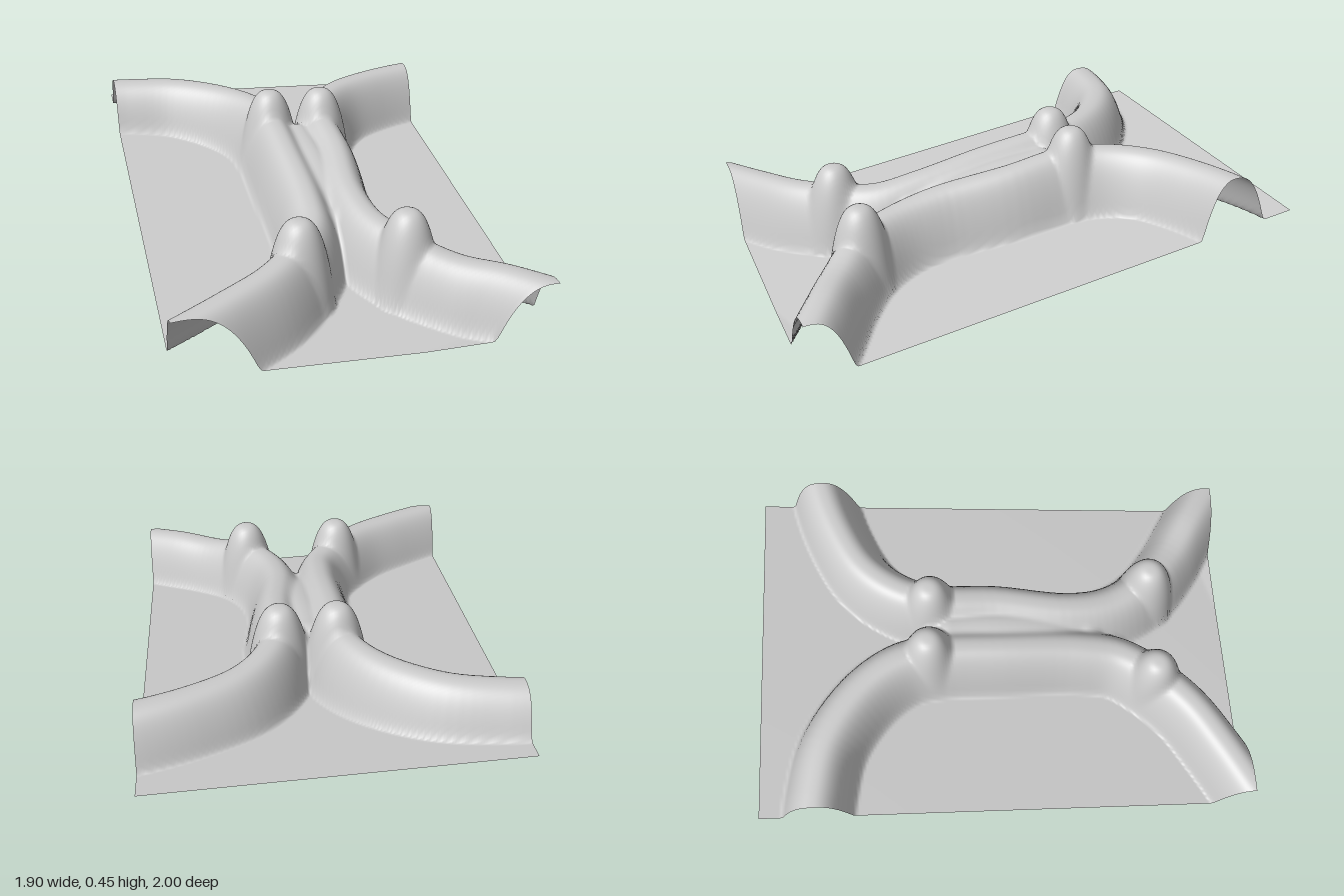
import * as THREE from 'three';

const ANGLE = 0.631, WIDTH = 1.155, LENGTH = 1.638;

// Ridge crests as [x, crest height, z]; the sheet drops away either side
const leftRidge = [
  [-0.9, 0.4, -0.13], [-0.78, 0.4, -0.2], [-0.62, 0.4, -0.265], [-0.42, 0.395, -0.27],
  [-0.28, 0.39, -0.225], [-0.19, 0.38, -0.15], [-0.04, 0.345, 0.04], [0.11, 0.295, 0.24],
  [0.18, 0.265, 0.37], [0.19, 0.255, 0.51], [0.17, 0.245, 0.66], [0.11, 0.235, 0.82], [0.02, 0.22, 1.02],
];
const rightRidge = [
  [0.2, 0.38, -0.91], [0.11, 0.38, -0.82], [0.01, 0.38, -0.68], [-0.06, 0.38, -0.53],
  [-0.07, 0.38, -0.39], [-0.03, 0.375, -0.25], [0.09, 0.34, -0.08], [0.22, 0.295, 0.14],
  [0.33, 0.265, 0.25], [0.47, 0.245, 0.315], [0.64, 0.205, 0.33], [0.8, 0.195, 0.32], [0.97, 0.17, 0.31],
];
const spineFill = [[-0.08, 0.34, -0.15], [0.03, 0.32, -0.01], [0.13, 0.28, 0.13], [0.19, 0.235, 0.22]];

// Rounded knobs as [x, top height, z]
const knobs = [[-0.19, 0.455, -0.16], [-0.035, 0.45, -0.26], [0.195, 0.332, 0.51], [0.475, 0.328, 0.318]];

function makeRidge(points, halfWidth, segments) {
  const curve = new THREE.CatmullRomCurve3(points.map((p) => new THREE.Vector3(...p)));
  return { samples: curve.getPoints(segments), halfWidth };
}

// Distance to a crest line in plan, and the crest height at the nearest place
function nearest(samples, x, z) {
  let best = Infinity, crest = 0;
  for (let i = 0; i < samples.length - 1; i++) {
    const a = samples[i], b = samples[i + 1];
    const dx = b.x - a.x, dz = b.z - a.z;
    const t = THREE.MathUtils.clamp(((x - a.x) * dx + (z - a.z) * dz) / (dx * dx + dz * dz), 0, 1);
    const d = Math.hypot(x - a.x - t * dx, z - a.z - t * dz);
    if (d < best) {
      best = d;
      crest = a.y + t * (b.y - a.y);
    }
  }
  return { distance: best, crest };
}

// Maximum of two heights with a small blend where they meet
function blendMax(a, b, k) {
  const h = Math.max(k - Math.abs(a - b), 0) / k;
  return Math.max(a, b) + h * h * k * 0.25;
}

function createSheet() {
  const ridges = [makeRidge(leftRidge, 0.112, 70), makeRidge(rightRidge, 0.112, 70), makeRidge(spineFill, 0.12, 16)];
  const geometry = new THREE.PlaneGeometry(WIDTH, LENGTH, 130, 184);
  geometry.rotateX(-Math.PI / 2);
  const pos = geometry.attributes.position;
  const cos = Math.cos(ANGLE), sin = Math.sin(ANGLE);

  for (let i = 0; i < pos.count; i++) {
    const v = pos.getX(i), u = pos.getZ(i);
    const x = v * cos + u * sin, z = u * cos - v * sin;
    // gently tilted ground
    const base = Math.max(0.13 - 0.15 * u - 0.043 * v, 0);
    let y = base;
    // arched ridges
    for (const { samples, halfWidth } of ridges) {
      const { distance, crest } = nearest(samples, x, z);
      const arch = 1 - Math.pow(distance / halfWidth, 2.6);
      if (arch > -0.3) y = blendMax(y, base + (crest - base) * arch, 0.025);
    }
    // knobs on top
    for (const [kx, top, kz] of knobs) {
      const r = Math.hypot(x - kx, z - kz);
      y = blendMax(y, top - 0.1 * Math.pow(r / 0.08, 3), 0.02);
    }
    pos.setXYZ(i, x, y, z);
  }
  geometry.computeVertexNormals();
  return geometry;
}

export function createModel() {
  const group = new THREE.Group();
  group.name = 'ridgedSheet';
  const material = new THREE.MeshStandardMaterial({ color: 0xcccccc, side: THREE.DoubleSide });
  const sheet = new THREE.Mesh(createSheet(), material);
  sheet.name = 'branchingRidgeSheet';
  group.add(sheet);
  return group;
}
